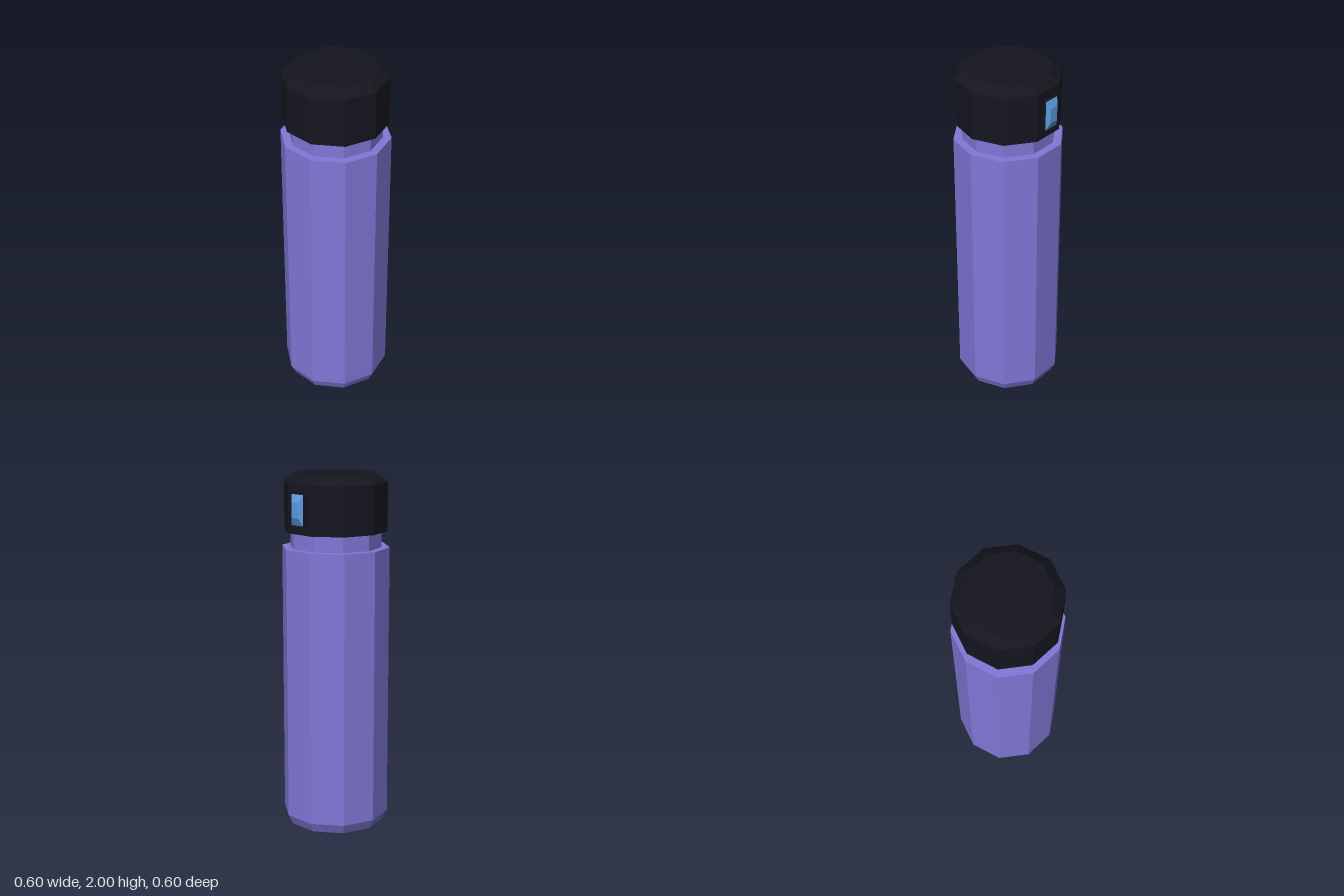
import * as THREE from 'three';

const SIDES = 10;
const AXIS_X = -0.011; // bottle axis, shifted so the button is included in the centring

const paint = (color) => new THREE.MeshStandardMaterial({ color, flatShading: true, side: THREE.DoubleSide });

// Faceted solid of revolution from [radius, height] pairs, bottom to top
function turned(name, profile, material) {
  const points = profile.map(([r, y]) => new THREE.Vector2(r, y));
  const mesh = new THREE.Mesh(new THREE.LatheGeometry(points, SIDES), material);
  mesh.name = name;
  mesh.position.x = AXIS_X;
  return mesh;
}

// Box whose +x face is narrowed by the given factors
function taperedBox(name, size, centre, scaleY, scaleZ, material) {
  const geometry = new THREE.BoxGeometry(...size);
  const p = geometry.attributes.position;
  for (let i = 0; i < p.count; i++) {
    if (p.getX(i) > 0) p.setXYZ(i, p.getX(i), p.getY(i) * scaleY, p.getZ(i) * scaleZ);
  }
  geometry.computeVertexNormals();
  const mesh = new THREE.Mesh(geometry, material);
  mesh.name = name;
  mesh.position.set(...centre);
  return mesh;
}

export function createModel() {
  const group = new THREE.Group();
  group.name = 'bottle';
  const purple = paint(0x8078d8);
  const black = paint(0x15151f);
  const blue = paint(0x5b9be0);

  // Hollow body, open underneath, with bevelled foot, shoulder and neck
  group.add(turned('body', [
    [0.275, 0], [0.302, 0.055], [0.302, 1.595], [0.256, 1.595], [0.256, 1.685],
  ], purple));

  // Cap with a bevelled top edge
  group.add(turned('cap', [
    [0.256, 1.685], [0.289, 1.685], [0.289, 1.955], [0.229, 2.0], [0, 2.0],
  ], black));

  // Release button on the cap's left side
  group.add(taperedBox('buttonBase', [0.03, 0.168, 0.09], [0.265, 1.82, -0.002], 1, 1, black));
  group.add(taperedBox('button', [0.018, 0.168, 0.09], [0.289, 1.82, -0.002], 0.5, 0.58, blue));

  return group;
}
